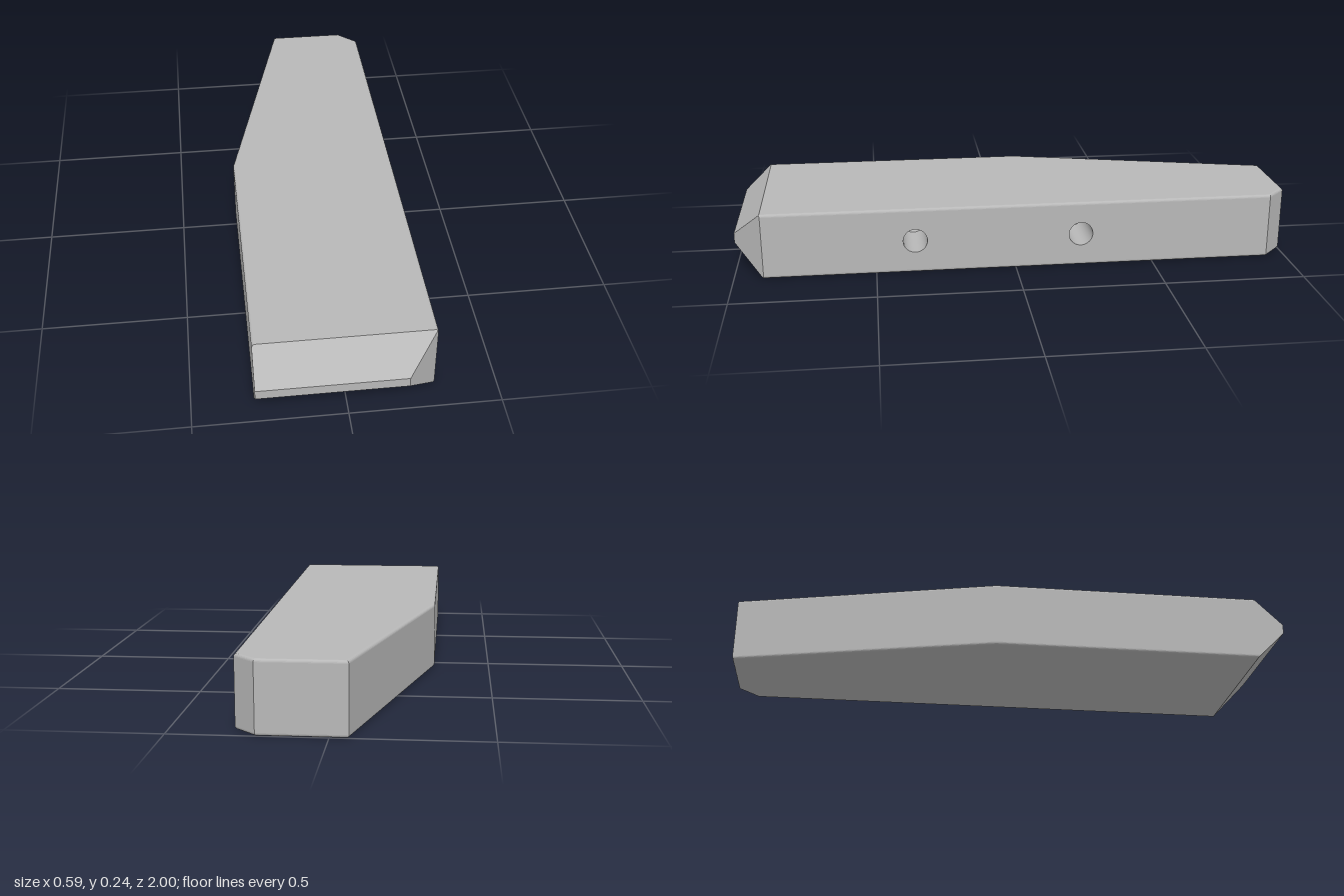
import * as THREE from 'three';

const W = 0.297, H = 0.238, R = 0.01;      // half width, height, edge rounding
const CORNER = 1.193;                      // front corner cut lies on x + z = CORNER
const BACK_CUT = -0.93;
const HOLES = [0.36, -0.235], HOLE_R = 0.043, HOLE_DEPTH = 0.2;

// Front wedge: how far forward the body reaches at height y
const frontZ = (y) => Math.min(1, 0.897 + Math.min(y, H - y) * (0.103 / 0.102));

// Plan outline at height y, drawn in by inset i
function outline(y, i) {
  const f = frontZ(y);
  return [
    [-W + i, f], [Math.min(CORNER - f, W - i), f],
    [W - i, Math.min(f, CORNER - W + i)], [W - i, BACK_CUT],
    [0.225 - i * 0.4, -1 + i], [-0.06 + i * 0.8, -1 + i], [-W + i, -0.06],
  ].map(([x, z]) => [x, y, z]);
}

function bodyGeometry() {
  // Levels from bottom to top, with quarter-round edges
  const steps = 5, bottom = [];
  for (let k = 0; k <= steps; k++) {
    const a = (k / steps) * Math.PI / 2;
    bottom.push([R * (1 - Math.cos(a)), R * (1 - Math.sin(a))]);
  }
  bottom.push([0.102, 0]);
  const levels = [...bottom, ...bottom.map(([y, i]) => [H - y, i]).reverse()];
  const rings = levels.map(([y, i]) => outline(y, i));
  const pos = [];
  const tri = (a, b, c) => pos.push(...a, ...b, ...c);

  for (let l = 0; l < rings.length - 1; l++) {
    const lo = rings[l], hi = rings[l + 1];
    for (let j = 0; j < lo.length; j++) {
      // the drilled side wall is a separate panel
      if (j === 2 && l >= steps && l < rings.length - 1 - steps) continue;
      const n = (j + 1) % lo.length;
      tri(lo[j], lo[n], hi[n]);
      tri(lo[j], hi[n], hi[j]);
    }
  }
  // Flat bottom and top
  const first = rings[0], last = rings[rings.length - 1];
  for (let j = 1; j < first.length - 1; j++) {
    tri(first[0], first[j + 1], first[j]);
    tri(last[0], last[j], last[j + 1]);
  }
  const g = new THREE.BufferGeometry();
  g.setAttribute('position', new THREE.Float32BufferAttribute(pos, 3));
  g.computeVertexNormals();
  return g;
}

// Side wall with round openings
function drilledWallGeometry() {
  const z0 = CORNER - W, s = new THREE.Shape();
  s.moveTo(-z0, R);
  s.lineTo(-BACK_CUT, R);
  s.lineTo(-BACK_CUT, H - R);
  s.lineTo(-z0, H - R);
  s.closePath();
  for (const z of HOLES) {
    s.holes.push(new THREE.Path().absarc(-z, H / 2, HOLE_R, 0, Math.PI * 2, true));
  }
  return new THREE.ShapeGeometry(s, 24).rotateY(Math.PI / 2).translate(W, 0, 0);
}

export function createModel() {
  const model = new THREE.Group();
  const grey = new THREE.MeshStandardMaterial({ color: 0xb8b8b8 });
  grey.name = 'plain grey';
  const add = (name, geometry) => {
    const mesh = new THREE.Mesh(geometry, grey);
    mesh.name = name;
    model.add(mesh);
    return mesh;
  };

  add('body', bodyGeometry());
  add('drilledSideWall', drilledWallGeometry());

  // Blind holes: inward-facing bore with a conical end
  const bore = [[HOLE_R, 0], [HOLE_R, -HOLE_DEPTH]];
  const tip = [[HOLE_R, -HOLE_DEPTH], [0, -HOLE_DEPTH - 0.6 * HOLE_R]];
  for (const z of HOLES) {
    for (const [name, profile] of [['holeBore', bore], ['holeTip', tip]]) {
      const points = profile.map(([r, y]) => new THREE.Vector2(r, y));
      const g = new THREE.LatheGeometry(points, 48).rotateZ(-Math.PI / 2);
      add(name, g).position.set(W, H / 2, z);
    }
  }
  return model;
}
